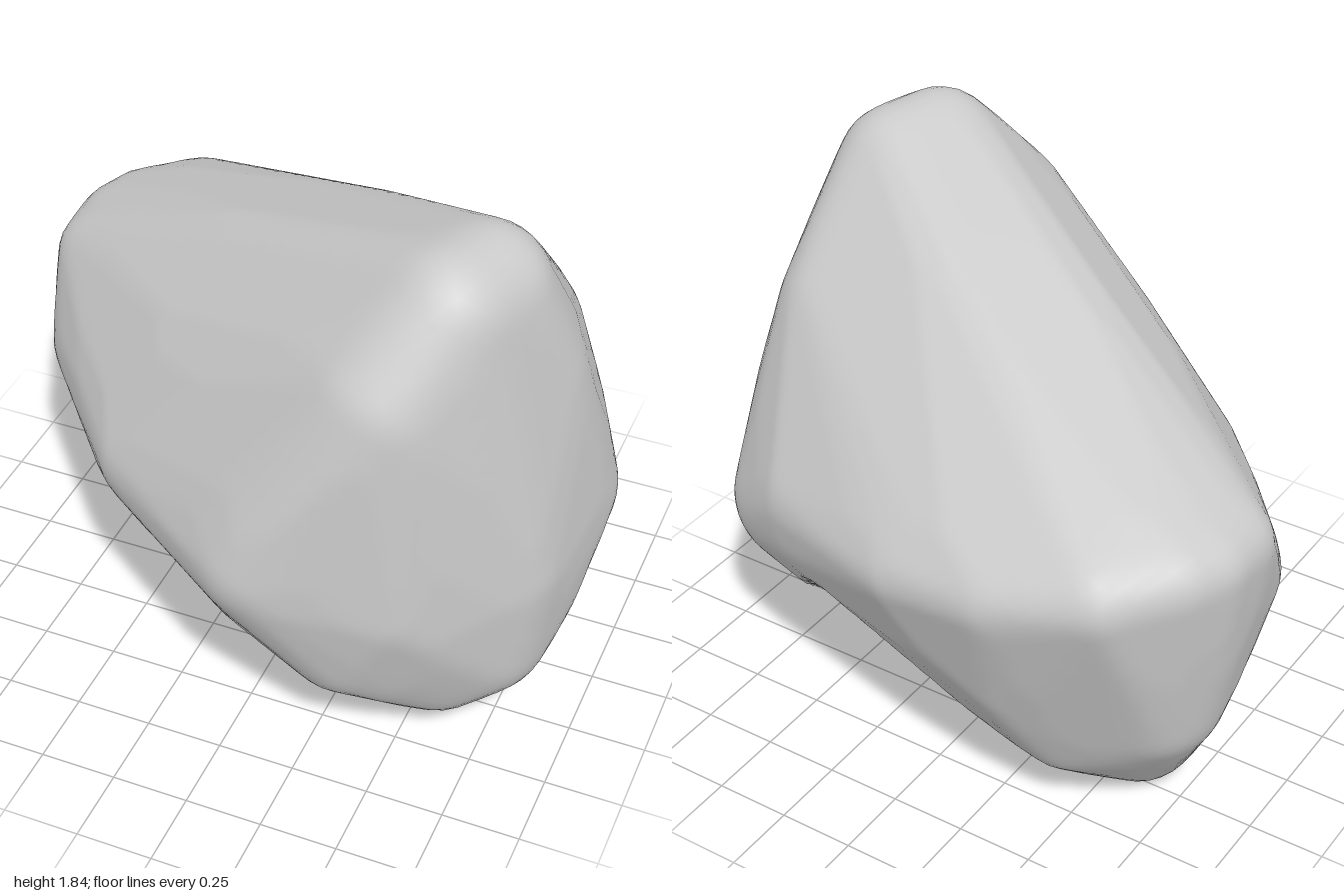
import * as THREE from 'three';
import { mergeVertices } from 'three/addons/utils/BufferGeometryUtils.js';

// Balls [x, y, z, radius] whose common rounded hull is the outer form
const tallLobe = [
  [0.58, 1.63, 0.4, 0.2], [0.63, 1.62, 0.25, 0.2], [0.45, 1.38, 0.53, 0.24], [0.7, 1.3, 0.15, 0.22],
  [0.6, 1.25, -0.05, 0.25], [0.75, 0.72, -0.05, 0.25], [0.7, 0.7, 0.3, 0.25], [0.45, 0.7, 0.53, 0.25],
  [0.13, 0.8, 0.62, 0.25], [0.61, 0.7, -0.32, 0.25], [0.42, 0.83, -0.45, 0.22], [0.72, 0.5, 0.15, 0.24],
  [0.66, 0.4, 0.28, 0.26], [0.35, 0.48, 0.5, 0.25], [0.6, 0.48, -0.12, 0.25], [0.57, 0.3, 0.34, 0.22],
];
const lowLobe = [
  [-0.86, 1.03, -0.25, 0.14], [-0.87, 1.05, -0.4, 0.13], [-0.82, 1.05, -0.5, 0.14], [-0.68, 1.03, -0.67, 0.14],
  [-0.38, 0.96, -0.735, 0.14], [-0.05, 0.9, -0.7, 0.14], [-0.75, 0.8, -0.1, 0.2], [-0.35, 0.8, 0.35, 0.21],
  [-0.72, 0.75, -0.35, 0.25], [-0.68, 0.5, -0.35, 0.24], [-0.35, 0.6, -0.53, 0.22], [-0.45, 0.35, -0.42, 0.2],
  [-0.56, 0.19, -0.2, 0.2],
];
const centre = new THREE.Vector3(0, 0.95, 0);

// Tangent planes of the hull, for evenly spread directions
function tangentPlanes(count) {
  const balls = [...tallLobe, ...lowLobe];
  const planes = [];
  for (let i = 0; i < count; i++) {
    const y = 1 - (2 * i + 1) / count;
    const ring = Math.sqrt(1 - y * y);
    const a = i * Math.PI * (3 - Math.sqrt(5));
    const n = new THREE.Vector3(ring * Math.cos(a), y, ring * Math.sin(a));
    let h = -Infinity;
    for (const [bx, by, bz, r] of balls) h = Math.max(h, n.x * bx + n.y * by + n.z * bz + r);
    planes.push({ n, h: h - n.dot(centre) });
  }
  return planes;
}

// Height of the hollow underside, an arch running crosswise between the lobes
function archHeight(x, z) {
  const s = 0.9 * (x - 0.02) + 0.43 * (z - 0.07);
  return 0.69 - 1.15 * Math.sqrt(s * s + 0.012);
}

// Distance from the centre to the arch along a direction
function archDistance(d, limit) {
  const above = (t) => centre.y + d.y * t > archHeight(centre.x + d.x * t, centre.z + d.z * t);
  const step = 0.03;
  for (let t = step; t < limit; t += step) {
    if (above(t)) continue;
    let lo = t - step, hi = t;
    for (let i = 0; i < 12; i++) {
      const mid = (lo + hi) / 2;
      if (above(mid)) lo = mid; else hi = mid;
    }
    return lo;
  }
  return limit;
}

function smoothMin(a, b, k) {
  const h = Math.max(k - Math.abs(a - b), 0) / k;
  return Math.min(a, b) - h * h * k / 4;
}

export function createModel() {
  const planes = tangentPlanes(2000);
  let geo = new THREE.IcosahedronGeometry(1, 30);
  geo.deleteAttribute('uv');
  geo.deleteAttribute('normal');
  geo = mergeVertices(geo, 1e-5);

  // Push every sphere point out to the hull or the arch, whichever is nearer
  const pos = geo.attributes.position;
  const d = new THREE.Vector3();
  for (let i = 0; i < pos.count; i++) {
    d.fromBufferAttribute(pos, i).normalize();
    let r = Infinity;
    for (const { n, h } of planes) {
      const c = n.dot(d);
      if (c > 0.05) r = Math.min(r, h / c);
    }
    r = smoothMin(r, archDistance(d, r + 0.3), 0.18);
    pos.setXYZ(i, centre.x + d.x * r, centre.y + d.y * r, centre.z + d.z * r);
  }

  // Stand it on the floor
  geo.computeBoundingBox();
  geo.translate(0, -geo.boundingBox.min.y, 0);
  geo.computeVertexNormals();

  const body = new THREE.Mesh(geo, new THREE.MeshStandardMaterial({ color: 0xcccccc }));
  body.name = 'archedBody';
  const group = new THREE.Group();
  group.name = 'archedStone';
  group.add(body);
  return group;
}
